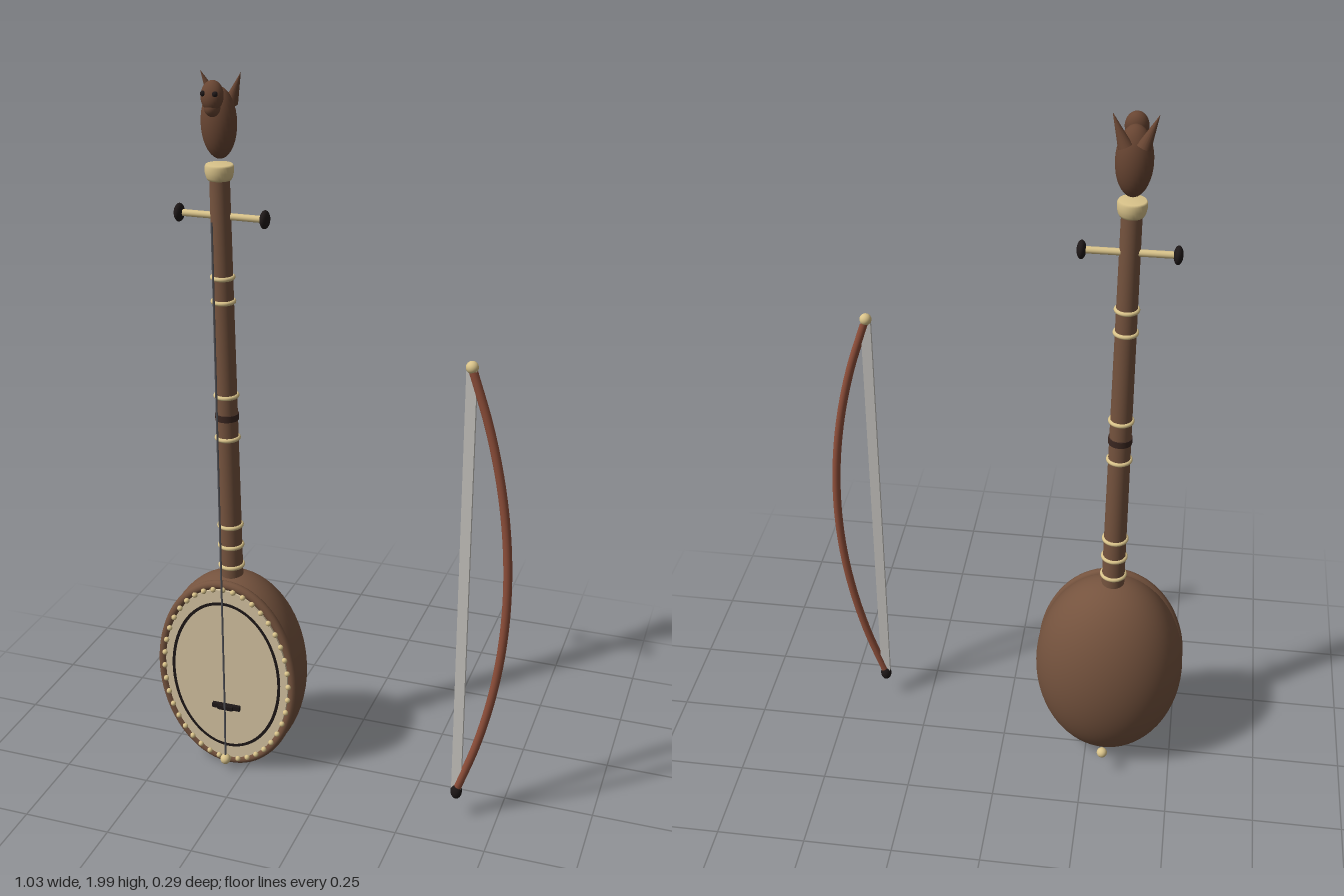
import * as THREE from 'three';

const mat = (name, color, extra = {}) => {
  const m = new THREE.MeshStandardMaterial({ color, ...extra });
  m.name = name;
  return m;
};

export function createModel() {
  const wood = mat('brown wood', 0x75533e);
  const carved = mat('carved wood', 0x684532);
  const skin = mat('drum skin', 0xd6c5a3);
  const bone = mat('bone', 0xd9c38a);
  const ebony = mat('ebony', 0x1e1818);
  const band = mat('dark band', 0x3a2620);
  const steel = mat('string', 0x55555a);
  const red = mat('red wood', 0x8f4f3a);
  const hair = mat('bow hair', 0xc9c7c2);

  const model = new THREE.Group();
  model.name = 'fiddleAndBow';
  const fiddle = new THREE.Group();
  fiddle.name = 'fiddle';
  fiddle.position.x = -0.305;
  const bow = new THREE.Group();
  bow.name = 'bow';
  bow.position.set(0.388, 0, 0.127);
  model.add(fiddle, bow);

  const add = (parent, name, geo, material, x = 0, y = 0, z = 0) => {
    const m = new THREE.Mesh(geo, material);
    m.name = name;
    m.position.set(x, y, z);
    parent.add(m);
    return m;
  };
  const ball = (parent, name, material, p, r) => {
    const m = add(parent, name, new THREE.SphereGeometry(1, 28, 18), material, ...p);
    m.scale.set(...r);
    return m;
  };
  const lathe = (pts) => new THREE.LatheGeometry(pts.map((p) => new THREE.Vector2(...p)), 32);

  // Egg-shaped bowl: a sphere cut off at the front and squashed
  const CY = 0.31, CZ = 0.03;
  const bowlGeo = new THREE.SphereGeometry(1, 64, 32, 0, Math.PI * 2, Math.acos(0.31), Math.PI - Math.acos(0.31));
  bowlGeo.rotateX(Math.PI / 2);
  add(fiddle, 'bowl', bowlGeo, wood, 0, CY, CZ).scale.set(0.213, 0.302, 0.175);

  // Elliptical rim, skin and painted ring
  class Ellipse extends THREE.Curve {
    constructor(rx, ry) { super(); this.rx = rx; this.ry = ry; }
    getPoint(t, v = new THREE.Vector3()) {
      return v.set(this.rx * Math.cos(t * Math.PI * 2), this.ry * Math.sin(t * Math.PI * 2), 0);
    }
  }
  add(fiddle, 'rim', new THREE.TubeGeometry(new Ellipse(0.199, 0.288), 96, 0.013, 12, true), wood, 0, CY, 0.085);
  const skinGeo = new THREE.CylinderGeometry(1, 1, 0.02, 64).rotateX(Math.PI / 2);
  add(fiddle, 'skin', skinGeo, skin, 0, CY, 0.087).scale.set(0.187, 0.276, 1);
  const ring = new THREE.Shape().absellipse(0, 0, 0.166, 0.238, 0, Math.PI * 2);
  ring.holes.push(new THREE.Path().absellipse(0, 0, 0.157, 0.229, 0, Math.PI * 2));
  add(fiddle, 'paintedRing', new THREE.ShapeGeometry(ring, 48), ebony, 0, CY, 0.0985);

  // Studs around the skin
  const studGeo = new THREE.SphereGeometry(0.008, 12, 8);
  for (let i = 0; i < 40; i++) {
    const a = (i / 40) * Math.PI * 2;
    add(fiddle, 'stud', studGeo, bone, 0.19 * Math.cos(a), CY + 0.279 * Math.sin(a), 0.099);
  }

  // Bridge with its raised centre, and end buttons
  add(fiddle, 'bridge', new THREE.BoxGeometry(0.084, 0.014, 0.012), ebony, 0, 0.21, 0.102);
  add(fiddle, 'bridgeTop', new THREE.BoxGeometry(0.045, 0.012, 0.01), ebony, 0, 0.21, 0.11);
  ball(fiddle, 'tailButton', bone, [0, 0.042, 0.122], [0.015, 0.015, 0.015]);
  ball(fiddle, 'backButton', bone, [0, 0.085, -0.117], [0.015, 0.015, 0.015]);

  // String from tail over the bridge to the pegs
  const path = new THREE.CurvePath();
  const pts = [[0, 0.042, 0.122], [0, 0.21, 0.115], [0, 1.635, 0.09]].map((p) => new THREE.Vector3(...p));
  path.add(new THREE.LineCurve3(pts[0], pts[1]));
  path.add(new THREE.LineCurve3(pts[1], pts[2]));
  add(fiddle, 'string', new THREE.TubeGeometry(path, 40, 0.003, 6), steel);

  // Neck with bone rings and collar
  add(fiddle, 'neck', new THREE.CylinderGeometry(0.026, 0.032, 1.17, 32), wood, 0, 1.155, CZ);
  for (const y of [1.475, 1.41, 1.147, 1.025, 0.762, 0.7, 0.638]) {
    const r = 0.032 - ((y - 0.57) / 1.17) * 0.006;
    add(fiddle, 'neckRing', new THREE.TorusGeometry(r, 0.006, 10, 32).rotateX(Math.PI / 2), bone, 0, y, CZ);
  }
  add(fiddle, 'neckBand', new THREE.CylinderGeometry(0.032, 0.032, 0.018, 32), band, 0, 1.087, CZ);
  add(fiddle, 'collar', lathe([[0, 1.73], [0.03, 1.73], [0.034, 1.737], [0.037, 1.75], [0.037, 1.765], [0.034, 1.77], [0, 1.77]]), bone, 0, 0, CZ);

  // Tuning peg with a knob on each end
  add(fiddle, 'peg', new THREE.CylinderGeometry(0.009, 0.009, 0.236, 16).rotateZ(Math.PI / 2), bone, 0, 1.635, 0.024);
  for (const s of [-1, 1]) ball(fiddle, 'pegKnob', ebony, [s * 0.118, 1.635, 0.024], [0.012, 0.024, 0.023]);

  // Carved animal head
  ball(fiddle, 'headNeck', carved, [0, 1.872, 0.023], [0.046, 0.09, 0.043]);
  ball(fiddle, 'head', carved, [0, 1.944, 0.06], [0.029, 0.038, 0.026]).rotation.x = -0.25;
  ball(fiddle, 'muzzle', carved, [0, 1.915, 0.062], [0.02, 0.022, 0.022]);
  for (const s of [-1, 1]) {
    ball(fiddle, 'eye', ebony, [s * 0.016, 1.952, 0.08], [0.007, 0.007, 0.007]);
    const ear = add(fiddle, 'ear', new THREE.ConeGeometry(0.018, 0.085, 16), carved, s * 0.038, 1.957, -0.002);
    ear.rotation.set(0.15, 0, -s * 0.4);
  }

  // Bow: curved stick, flat hair, tip and grip
  const stick = new THREE.CatmullRomCurve3(Array.from({ length: 9 }, (_, i) => {
    const t = i / 8;
    return new THREE.Vector3(0.46 * t * (1 - t), 0.1 + 1.24 * t, 0);
  }));
  add(bow, 'bowStick', new THREE.TubeGeometry(stick, 48, 0.0115, 14), red);
  add(bow, 'bowHair', new THREE.BoxGeometry(0.027, 1.23, 0.012), hair, 0, 0.72, 0);
  ball(bow, 'bowTip', bone, [0, 1.342, 0], [0.016, 0.016, 0.016]);
  ball(bow, 'bowGrip', ebony, [0, 0.095, 0], [0.016, 0.024, 0.016]);

  return model;
}
